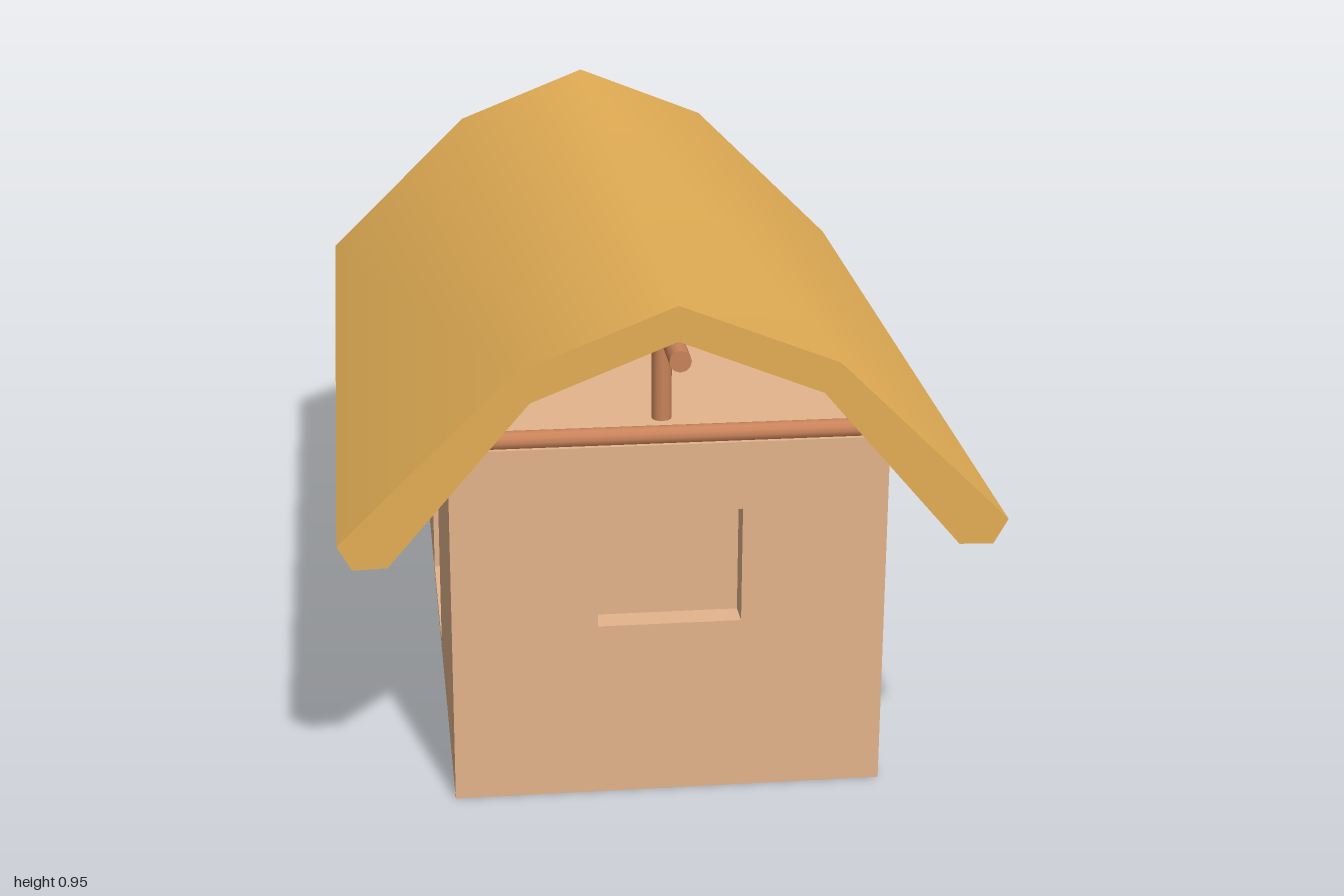
import * as THREE from 'three';
import { toCreasedNormals } from 'three/addons/utils/BufferGeometryUtils.js';

const W = 0.386, L = 0.806, H = 0.667; // wall half width, half length, height
const NICHE = 0.05, DOOR = 0.09;       // recess depths

const mat = (color) => new THREE.MeshStandardMaterial({ color });

function add(parent, name, geometry, material, x = 0, y = 0, z = 0) {
  const mesh = new THREE.Mesh(geometry, material);
  mesh.name = name;
  mesh.position.set(x, y, z);
  parent.add(mesh);
  return mesh;
}

function rect(path, x0, y0, x1, y1) {
  path.moveTo(x0, y0);
  path.lineTo(x1, y0);
  path.lineTo(x1, y1);
  path.lineTo(x0, y1);
  path.closePath();
  return path;
}

// Wall slab with one rectangular opening
function panel(x0, x1, hole, depth) {
  const shape = rect(new THREE.Shape(), x0, 0, x1, H);
  shape.holes.push(rect(new THREE.Path(), ...hole));
  return new THREE.ExtrudeGeometry(shape, { depth, bevelEnabled: false });
}

export function createModel() {
  const model = new THREE.Group();
  model.name = 'hut';
  const clay = mat(0xe3b48c), thatch = mat(0xe3ae55), wood = mat(0xc9835a);

  // Walls: solid core faced by a window panel in front and a door panel on the right
  const walls = new THREE.Group();
  walls.name = 'walls';
  model.add(walls);
  add(walls, 'wallCore', new THREE.BoxGeometry(2 * W - DOOR, H, 2 * L - NICHE),
    clay, DOOR / 2, H / 2, -NICHE / 2);
  add(walls, 'frontWall', panel(-W, W, [-0.128, 0.328, 0.128, 0.542], NICHE),
    clay, 0, 0, L - NICHE);
  const side = add(walls, 'doorWall', panel(-L, L - NICHE, [-0.2, 0.015, 0.18, 0.56], DOOR),
    clay, -W + DOOR, 0, 0);
  side.rotation.y = -Math.PI / 2;

  // Roof: folded thatch slab, half profile mirrored
  const outer = [[0.555, 0.495], [0.58, 0.54], [0.277, 0.838]];
  const inner = [[0.25, 0.785], [0.495, 0.497]];
  const flip = (pts) => pts.map(([x, y]) => [-x, y]).reverse();
  const outline = [
    ...outer, [0, 0.948], ...flip(outer),
    ...flip(inner), [0, 0.885], ...inner,
  ].map(([x, y]) => new THREE.Vector2(x, y));
  const roof = new THREE.ExtrudeGeometry(new THREE.Shape(outline), { depth: 1.792, bevelEnabled: false });
  roof.translate(0, 0, -0.896);
  add(model, 'roof', toCreasedNormals(roof, 0.9), thatch);

  // Gable timbers at both ends
  for (const s of [1, -1]) {
    const gable = new THREE.Group();
    gable.name = s > 0 ? 'frontGable' : 'backGable';
    model.add(gable);
    const tie = add(gable, 'tieBeam', new THREE.CylinderGeometry(0.017, 0.017, 0.72, 12),
      wood, 0, 0.678, s * 0.785);
    tie.rotation.z = Math.PI / 2;
    add(gable, 'post', new THREE.CylinderGeometry(0.018, 0.018, 0.19, 12), wood, 0, 0.755, s * 0.67);
    const ridge = add(gable, 'ridgeBeam', new THREE.CylinderGeometry(0.019, 0.019, 0.37, 12),
      wood, 0, 0.86, s * 0.74);
    ridge.rotation.x = Math.PI / 2;
  }

  model.rotation.y = 0.2165;
  return model;
}
